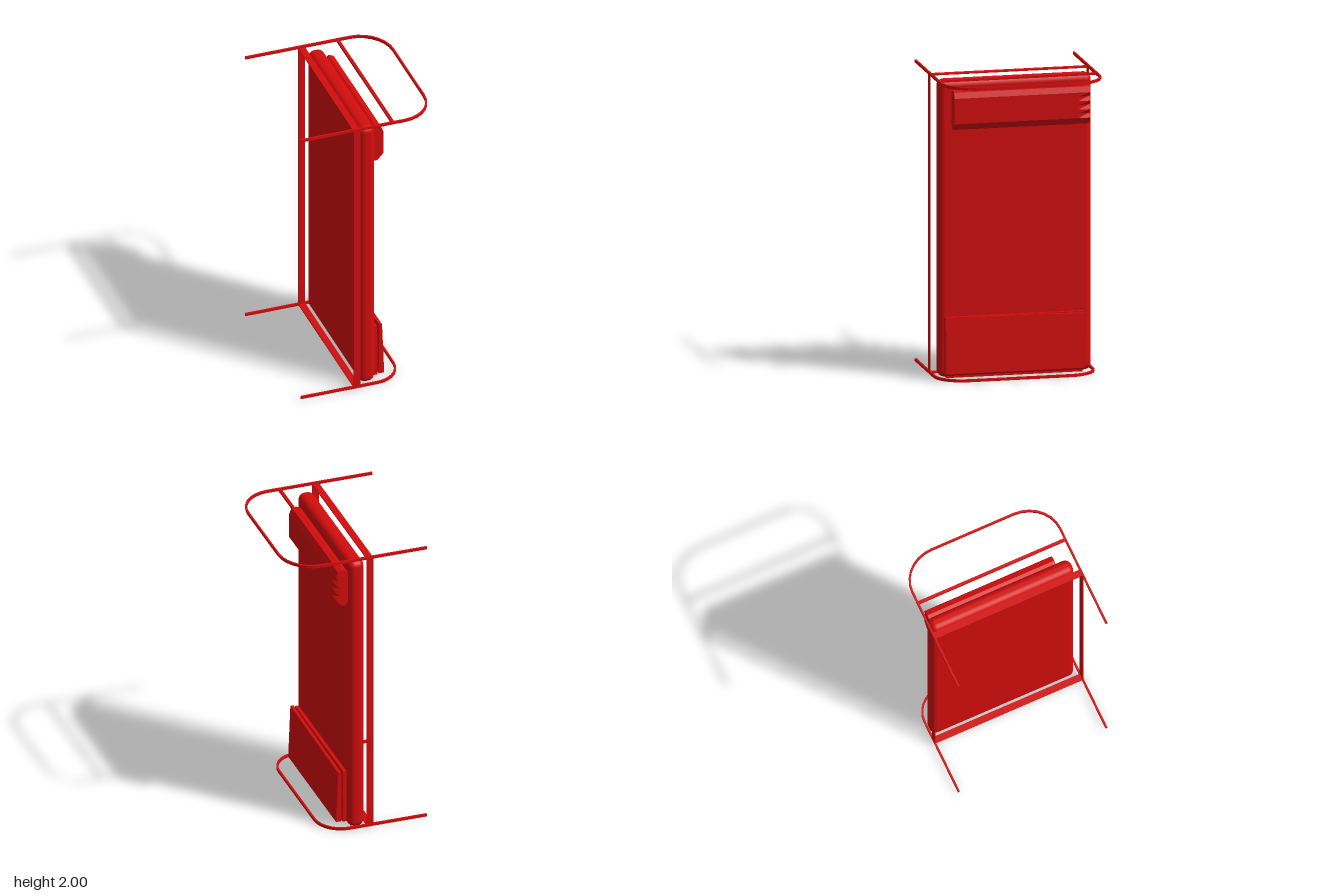
import * as THREE from 'three';
import { RoundedBoxGeometry } from 'three/addons/geometries/RoundedBoxGeometry.js';

const red = new THREE.MeshStandardMaterial({ color: 0xd40c0c });

function add(group, name, geometry, x = 0, y = 0, z = 0) {
  const mesh = new THREE.Mesh(geometry, red);
  mesh.name = name;
  mesh.position.set(x, y, z);
  group.add(mesh);
  return mesh;
}

// Flat U-shaped rail: straight arms from the free ends, rounded corners at +x
function railGeometry(xEnd, rx, rz, height) {
  const t = 0.013, half = 0.53, back = -0.468, steps = 7;
  const cx = xEnd - rx, cz = half - rz;
  const outline = (inset) => {
    const pts = [[back, -half + inset]];
    for (const side of [-1, 1]) {
      for (let i = 0; i <= steps; i++) {
        const f = side < 0 ? 1 - i / steps : i / steps;
        const a = f * Math.PI / 2;
        pts.push([cx + (rx - inset) * Math.cos(a), side * (cz + (rz - inset) * Math.sin(a))]);
      }
    }
    pts.push([back, half - inset]);
    return pts;
  };
  const ring = [...outline(0), ...outline(t).reverse()];
  const shape = new THREE.Shape(ring.map(([x, z]) => new THREE.Vector2(x, z)));
  const g = new THREE.ExtrudeGeometry(shape, { depth: height, bevelEnabled: false });
  g.rotateX(Math.PI / 2);
  g.translate(0, height, 0);
  return g;
}

// Faceted loft through closed counter-clockwise sections, ordered from +z to -z
function loft(sections) {
  const pos = [], n = sections[0].length;
  const tri = (a, b, c) => pos.push(...a, ...b, ...c);
  for (let i = 0; i < sections.length - 1; i++) {
    for (let j = 0; j < n; j++) {
      const k = (j + 1) % n, p = sections[i], q = sections[i + 1];
      tri(p[j], q[j], q[k]);
      tri(p[j], q[k], p[k]);
    }
  }
  const first = sections[0], last = sections[sections.length - 1];
  const centre = (s) => [0.08, 1.78, s[0][2]];
  for (let j = 0; j < n; j++) {
    const k = (j + 1) % n;
    tri(centre(first), first[j], first[k]);
    tri(centre(last), last[k], last[j]);
  }
  const g = new THREE.BufferGeometry();
  g.setAttribute('position', new THREE.Float32BufferAttribute(pos, 3));
  g.computeVertexNormals();
  return g;
}

// Pillow section; the pleat value pulls every other front point inward
function pillowSection(z, pleat) {
  const pts = [[0.058, 1.67], [0.075, 1.65], [0.1, 1.65]];
  for (let i = 0; i <= 6; i++) pts.push([0.14 - (i % 2 ? pleat : 0), 1.695 + i * 0.028]);
  pts.push([0.125, 1.9], [0.09, 1.91], [0.058, 1.89]);
  return pts.map(([x, y]) => [x, y, z]);
}

// Tapered slab, drawn in side profile and extruded along z
function slab(points, z0, z1) {
  const shape = new THREE.Shape(points.map(([x, y]) => new THREE.Vector2(x, y)));
  const g = new THREE.ExtrudeGeometry(shape, { depth: z1 - z0, bevelEnabled: false });
  g.translate(0, 0, z0);
  return g;
}

export function createModel() {
  const model = new THREE.Group();
  model.name = 'uprightBed';

  // Mattress standing on its end
  add(model, 'mattress', new RoundedBoxGeometry(0.108, 1.96, 1.015, 5, 0.045), 0.004, 0.99, -0.012);

  // Pillow with a pleated end
  add(model, 'pillow', loft([
    pillowSection(0.41, 0), pillowSection(-0.41, 0), pillowSection(-0.49, 0.03),
  ]));

  // Folded blanket in two layers
  add(model, 'blanketInner', slab([[0.056, 0.04], [0.082, 0.04], [0.08, 0.41], [0.056, 0.41]], -0.46, 0.46));
  const outer = slab([[0.09, 0.045], [0.128, 0.045], [0.113, 0.418], [0.093, 0.418]], -0.46, 0.46);
  const p = outer.attributes.position;
  for (let i = 0; i < p.count; i++) {
    if (p.getY(i) > 0.3 && p.getZ(i) < 0) p.setY(i, 0.403);
  }
  outer.computeVertexNormals();
  add(model, 'blanketOuter', outer);

  // Thin rectangular frame behind the mattress
  for (const side of [-1, 1]) {
    add(model, 'frameSide', new THREE.BoxGeometry(0.045, 1.96, 0.006), -0.082, 1, side * 0.524);
  }
  add(model, 'frameTop', new THREE.BoxGeometry(0.045, 0.008, 1.05), -0.082, 1.984, 0);
  add(model, 'frameBottom', new THREE.BoxGeometry(0.045, 0.008, 1.05), -0.082, 0.02, 0);

  // Head and foot rails
  add(model, 'headRail', railGeometry(0.468, 0.22, 0.24, 0.018), 0, 1.982, 0);
  add(model, 'footRail', railGeometry(0.24, 0.18, 0.19, 0.018), 0, 0.012, 0);
  add(model, 'headCrossbar', new THREE.BoxGeometry(0.02, 0.014, 1.05), 0.165, 1.99, 0);

  // Rest the lowest point on the ground
  model.position.y = 0;
  add(model, 'footPad', new THREE.BoxGeometry(0.05, 0.012, 0.9), 0.004, 0.006, -0.012);
  return model;
}
